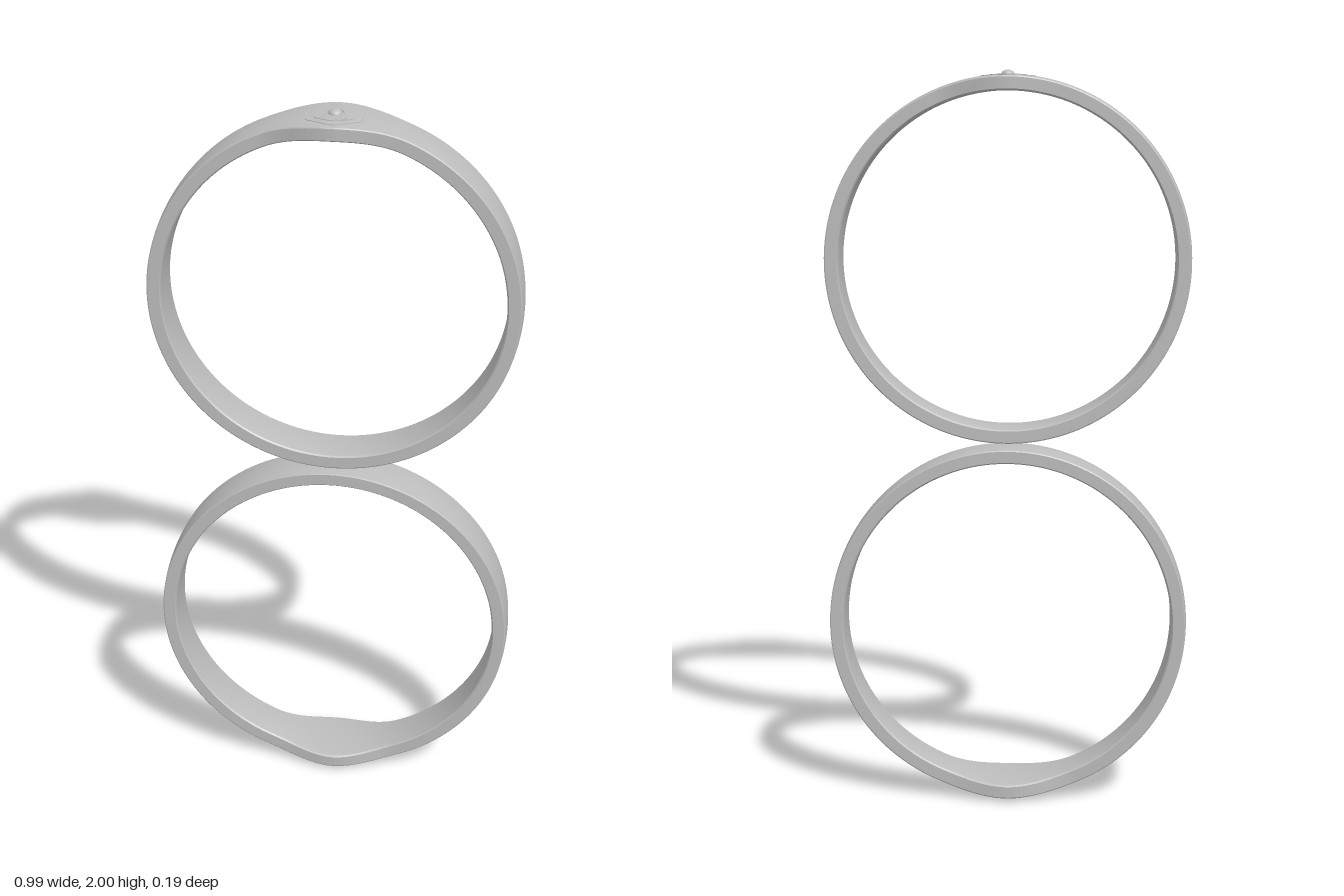
import * as THREE from 'three';
import { toCreasedNormals } from 'three/addons/utils/BufferGeometryUtils.js';

const R_OUT = 0.4925, R_IN = 0.45, CROWN = 0.004;

// Half width of the band: it swells around the crest (angle 0 = top)
function halfWidth(a) {
  const x = Math.cos(a) > 0 ? Math.abs(Math.sin(a)) * R_OUT : 1;
  return 0.062 + 0.033 * (1 - THREE.MathUtils.smoothstep(x, 0, 0.195));
}

// Band cross-section as [z, radius], outer side first, then the inner side
function section(w) {
  const pts = [[-w, R_OUT - CROWN - 0.003]];
  for (let i = 0; i <= 8; i++) {
    const u = i / 4 - 1;
    pts.push([u * (w - 0.002), R_OUT - CROWN * u * u]);
  }
  pts.push([w, R_OUT - CROWN - 0.003], [w, R_IN + 0.005]);
  pts.push([w - 0.004, R_IN + 0.0015], [w - 0.012, R_IN]);
  pts.push([-w + 0.012, R_IN], [-w + 0.004, R_IN + 0.0015], [-w, R_IN + 0.005]);
  return pts;
}

function bandGeometry(segments = 240) {
  const pos = [], index = [];
  const n = section(0.06).length;
  for (let i = 0; i < segments; i++) {
    const a = (i / segments) * Math.PI * 2;
    for (const [z, r] of section(halfWidth(a))) pos.push(r * Math.sin(a), r * Math.cos(a), z);
    for (let j = 0; j < n; j++) {
      const k = (j + 1) % n, next = (i + 1) % segments;
      const p = i * n + j, q = i * n + k, s = next * n + j, t = next * n + k;
      index.push(p, q, s, q, t, s);
    }
  }
  const g = new THREE.BufferGeometry();
  g.setAttribute('position', new THREE.Float32BufferAttribute(pos, 3));
  g.setIndex(index);
  return toCreasedNormals(g, 0.5);
}

// Extrudes a flat outline and bends it onto the crest of the band
function reliefGeometry(shape, height) {
  const g = new THREE.ExtrudeGeometry(shape, { depth: 0.008 + height, bevelEnabled: false, curveSegments: 1 });
  g.rotateX(-Math.PI / 2);
  const p = g.attributes.position;
  for (let i = 0; i < p.count; i++) {
    const x = p.getX(i), z = p.getZ(i);
    const u = z / halfWidth(Math.asin(x / R_OUT));
    const r = R_OUT - CROWN * u * u;
    p.setY(i, p.getY(i) - 0.008 + Math.sqrt(r * r - x * x));
  }
  return toCreasedNormals(g, 0.5);
}

// Hexagon with rounded corners, points along the band's width
function hexPoints(radius) {
  const pts = [];
  const corner = (k) => new THREE.Vector2(Math.sin(k * Math.PI / 3), Math.cos(k * Math.PI / 3)).multiplyScalar(radius);
  for (let k = 0; k < 6; k++) {
    const c = corner(k);
    const a = c.clone().lerp(corner(k - 1), 0.2), b = c.clone().lerp(corner(k + 1), 0.2);
    pts.push(...new THREE.QuadraticBezierCurve(a, c, b).getPoints(6));
    pts.push(b.clone().lerp(corner(k + 1), 0.375));
  }
  return pts;
}

// Drop outline, pointed at the top and rounded below
function dropPoints(s) {
  const half = [[0, 0.061], [0.02, 0.048], [0.037, 0.022], [0.048, -0.012], [0.05, -0.028], [0.03, -0.045], [0, -0.055]];
  const curve = new THREE.CatmullRomCurve3(half.map(([x, y]) => new THREE.Vector3(x * s, y * s, 0)));
  const right = curve.getPoints(24).map((p) => new THREE.Vector2(p.x, p.y));
  const left = right.slice(1, -1).reverse().map((p) => new THREE.Vector2(-p.x, p.y));
  return [...right, ...left];
}

function frameShape(outer, inner) {
  const shape = new THREE.Shape(outer);
  shape.holes.push(new THREE.Path(inner));
  return shape;
}

// Arch with two straight legs, open below
function archShape(width, top, foot, thick) {
  const outer = [], inner = [];
  for (let i = 0; i <= 20; i++) {
    const a = (i / 20) * Math.PI;
    outer.push(new THREE.Vector2(width * Math.cos(a), foot + (top - foot) * Math.sin(a)));
    inner.push(new THREE.Vector2((width - thick) * Math.cos(a), foot + (top - thick - foot) * Math.sin(a)));
  }
  return new THREE.Shape([...outer, ...inner.reverse()]);
}

export function createModel() {
  const model = new THREE.Group();
  model.name = 'ringPair';
  const metal = new THREE.MeshStandardMaterial({ color: 0xbdbdbd });
  metal.name = 'grey metal';

  const parts = {
    band: bandGeometry(),
    hexagonFrame: reliefGeometry(frameShape(hexPoints(0.084), hexPoints(0.073)), 0.0015),
    dropFrame: reliefGeometry(frameShape(dropPoints(1), dropPoints(0.88)), 0.0015),
    innerArch: reliefGeometry(archShape(0.032, 0.034, -0.035, 0.005), 0.0015),
  };
  const dome = new THREE.SphereGeometry(0.018, 32, 10, 0, Math.PI * 2, 0, Math.PI / 2);

  function ring(name, y, domeHeight) {
    const g = new THREE.Group();
    g.name = name;
    for (const [part, geometry] of Object.entries(parts)) {
      const m = new THREE.Mesh(geometry, metal);
      m.name = part;
      g.add(m);
    }
    // Small rounded stud in the middle of the ornament
    const stud = new THREE.Mesh(dome, metal);
    stud.name = 'stud';
    stud.position.y = R_OUT - 0.001;
    stud.scale.y = (domeHeight + 0.001) / 0.018;
    g.add(stud);
    g.position.y = y;
    model.add(g);
    return g;
  }

  ring('upperRing', 1.496, 0.0115);
  ring('lowerRing', 0.5, 0.0075).rotation.z = Math.PI; // crest points down
  return model;
}
